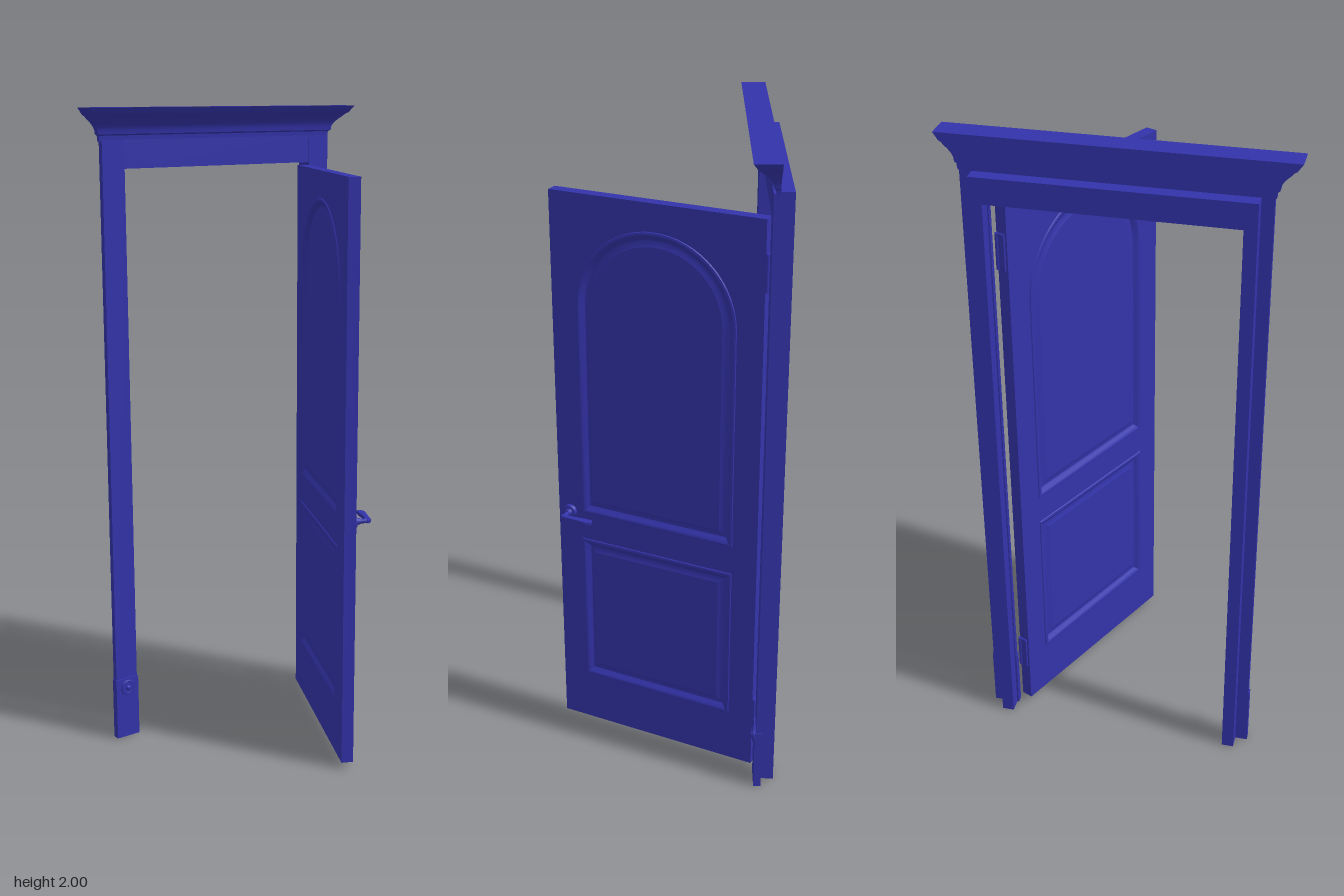
import * as THREE from 'three';
import { toCreasedNormals } from 'three/addons/utils/BufferGeometryUtils.js';

const paint = new THREE.MeshStandardMaterial({ color: 0x3333aa });

function add(parent, name, geometry, x = 0, y = 0, z = 0) {
  const mesh = new THREE.Mesh(geometry, paint);
  mesh.name = name;
  mesh.position.set(x, y, z);
  parent.add(mesh);
  return mesh;
}

// Box given by its limits
function block(parent, name, x0, x1, y0, y1, z0, z1) {
  return add(parent, name, new THREE.BoxGeometry(x1 - x0, y1 - y0, z1 - z0),
    (x0 + x1) / 2, (y0 + y1) / 2, (z0 + z1) / 2);
}

// Disc or rod whose axis runs along z
function zRod(r0, r1, length, sides = 24) {
  return new THREE.CylinderGeometry(r1, r0, length, sides).rotateX(Math.PI / 2);
}

// Panel outline, counter-clockwise, shrunk by an inset; the top may be a half circle
function outline({ half, bottom, top, arched }, inset) {
  const w = half - inset;
  const pts = [new THREE.Vector2(-w, bottom + inset), new THREE.Vector2(w, bottom + inset)];
  if (arched) {
    for (let i = 0; i <= 32; i++) {
      const a = (Math.PI * i) / 32;
      pts.push(new THREE.Vector2(w * Math.cos(a), top - half + w * Math.sin(a)));
    }
  } else {
    pts.push(new THREE.Vector2(w, top - inset), new THREE.Vector2(-w, top - inset));
  }
  return pts;
}

// Moulding swept round the outline; profile points are [inset, z]
function moulding(opening, profile) {
  const pos = [];
  const loops = profile.map(([d, z]) => outline(opening, d).map((p) => [p.x, p.y, z]));
  for (let k = 0; k < loops.length - 1; k++) {
    const a = loops[k], b = loops[k + 1];
    for (let i = 0; i < a.length; i++) {
      const j = (i + 1) % a.length;
      pos.push(...a[i], ...a[j], ...b[j], ...a[i], ...b[j], ...b[i]);
    }
  }
  const g = new THREE.BufferGeometry();
  g.setAttribute('position', new THREE.Float32BufferAttribute(pos, 3));
  return toCreasedNormals(g, 0.5);
}

// Cornice: box rows pushed outwards on the front and both ends
function corniceGeometry() {
  const rows = [[1.9, 0], [1.918, 0.002], [1.922, 0.008], [1.935, 0.01], [1.945, 0.015],
    [1.956, 0.024], [1.966, 0.035], [1.974, 0.042], [1.978, 0.049], [2, 0.064]];
  const n = rows.length - 1;
  const g = new THREE.BoxGeometry(1, 1, 1, 1, n, 1);
  const p = g.attributes.position;
  for (let i = 0; i < p.count; i++) {
    const [y, out] = rows[Math.round((p.getY(i) + 0.5) * n)];
    p.setXYZ(i, Math.sign(p.getX(i)) * (0.428 + out), y, p.getZ(i) > 0 ? -0.286 + out : -0.297);
  }
  return toCreasedNormals(g, 0.5);
}

function buildFrame() {
  const frame = new THREE.Group();
  frame.name = 'doorFrame';
  frame.position.x = -0.002;
  for (const s of [-1, 1]) {
    const side = s < 0 ? 'right' : 'left';
    const span = (a, b) => (s < 0 ? [-b, -a] : [a, b]);
    block(frame, side + 'Casing', ...span(0.348, 0.424), 0, 1.905, -0.297, -0.279);
    block(frame, side + 'Jamb', ...span(0.352, 0.389), 0, 1.9, -0.338, -0.297);
    block(frame, side + 'Plinth', ...span(0.346, 0.427), 0, 0.2, -0.297, -0.274);
    // Round ornament on the plinth
    add(frame, side + 'Rosette', zRod(0.022, 0.018, 0.006), s * 0.387, 0.17, -0.272);
    add(frame, side + 'RosetteRing', new THREE.TorusGeometry(0.021, 0.004, 8, 28), s * 0.387, 0.17, -0.273);
    add(frame, side + 'RosetteBoss', new THREE.SphereGeometry(0.009, 16, 10), s * 0.387, 0.17, -0.27);
  }
  block(frame, 'headCasing', -0.348, 0.348, 1.82, 1.905, -0.297, -0.281);
  block(frame, 'headJamb', -0.352, 0.352, 1.824, 1.9, -0.338, -0.297);
  add(frame, 'cornice', corniceGeometry());
  return frame;
}

function buildHandle() {
  const handle = new THREE.Group();
  handle.name = 'handle';
  handle.position.set(-0.295, 0.787, 0.0185);
  add(handle, 'handleRose', zRod(0.022, 0.019, 0.01), 0, 0, 0.005);
  add(handle, 'handleCollar', zRod(0.012, 0.009, 0.014), 0, 0, 0.016);
  add(handle, 'handleStem', zRod(0.007, 0.007, 0.035, 16), 0, 0, 0.03);
  // Lever: plan shape that widens towards its tip
  const s = new THREE.Shape();
  s.moveTo(-0.007, 0.044);
  s.quadraticCurveTo(-0.006, 0.054, 0.006, 0.054);
  s.quadraticCurveTo(0.04, 0.054, 0.082, 0.057);
  s.lineTo(0.096, 0.05);
  s.lineTo(0.094, 0.038);
  s.lineTo(0.07, 0.038);
  s.quadraticCurveTo(0.035, 0.044, 0.007, 0.04);
  s.closePath();
  const lever = new THREE.ExtrudeGeometry(s, { depth: 0.008, bevelSize: 0.002, bevelThickness: 0.002, bevelSegments: 2 });
  add(handle, 'handleLever', toCreasedNormals(lever.rotateX(Math.PI / 2), 0.6), 0, 0.004, 0);
  return handle;
}

function buildDoor() {
  const door = new THREE.Group();
  door.name = 'door';
  const L = 0.67, T = 0.037;
  const openings = [
    { name: 'upperPanel', half: 0.255, bottom: 0.79, top: 1.73, arched: true },
    { name: 'lowerPanel', half: 0.255, bottom: 0.19, top: 0.7, arched: false },
  ];

  // Stiles and rails cut from one board
  const board = new THREE.Shape([[-1, 0.02], [1, 0.02], [1, 1.812], [-1, 1.812]]
    .map(([x, y]) => new THREE.Vector2((x * L) / 2, y)));
  for (const o of openings) board.holes.push(new THREE.Path(outline(o, 0).reverse()));
  add(door, 'doorLeaf', new THREE.ExtrudeGeometry(board, { depth: T, bevelEnabled: false }), 0, 0, -T / 2);

  // Mouldings and fielded panels on both faces
  const profile = [[0, 0.0185], [0.002, 0.0215], [0.008, 0.0225], [0.014, 0.02], [0.02, 0.014],
    [0.026, 0.01], [0.034, 0.01], [0.046, 0.0145]];
  for (const o of openings) {
    for (const turn of [0, Math.PI]) {
      const face = turn ? 'Back' : 'Front';
      const [d, z] = profile[profile.length - 1];
      add(door, o.name + face + 'Moulding', moulding(o, profile)).rotation.y = turn;
      const field = new THREE.ShapeGeometry(new THREE.Shape(outline(o, d))).translate(0, 0, z);
      add(door, o.name + face + 'Field', field).rotation.y = turn;
    }
  }

  // Hinges on the closing edge
  for (const y of [0.21, 1.66]) {
    block(door, 'hingeLeaf', L / 2 - 0.002, L / 2 + 0.006, y - 0.055, y + 0.055, -0.012, 0.016);
    add(door, 'hingeBarrel', new THREE.CylinderGeometry(0.006, 0.006, 0.11, 16), L / 2 + 0.004, y, 0.014);
  }

  door.add(buildHandle());
  // Swung open about the left jamb
  door.position.set(0.179, 0, 0.027);
  door.rotation.y = THREE.MathUtils.degToRad(65);
  return door;
}

export function createModel() {
  const model = new THREE.Group();
  model.name = 'openDoor';
  model.add(buildFrame(), buildDoor());
  return model;
}
